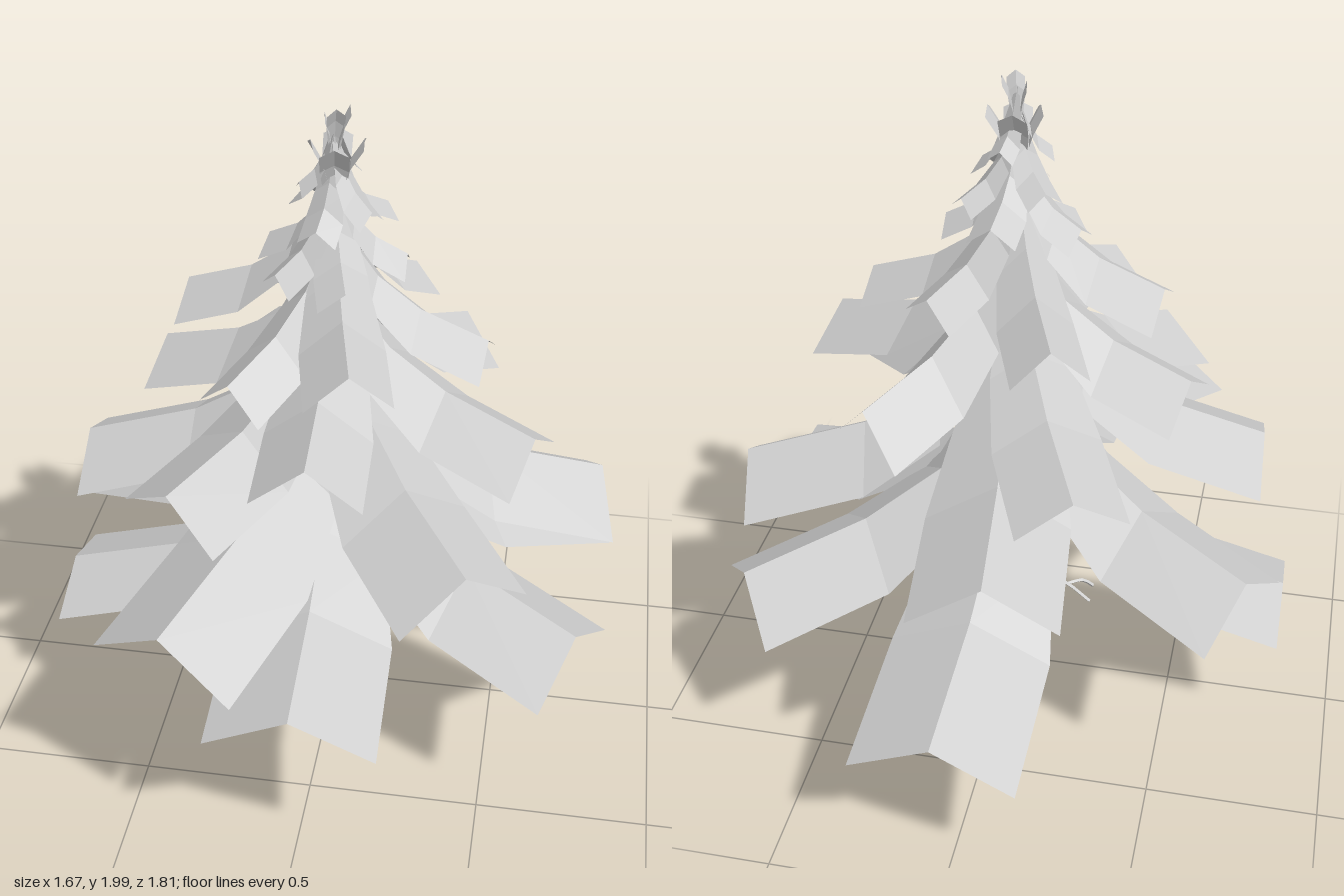
import * as THREE from 'three';

const bark = new THREE.MeshStandardMaterial({ color: 0xcccccc, flatShading: true, side: THREE.DoubleSide });
bark.name = 'pale grey';

const AXIS_Z = 0.025;

// Folded bough: a ridge running from the trunk to its tip, with two drooping sides.
// [tip x, tip z, ridge height at tip, width, droop of the edges, rise towards the trunk]
function bough([x, z, y, width, droop, rise]) {
  const dx = x, dz = z - AXIS_Z, r = Math.hypot(dx, dz);
  const px = -dz / r, pz = dx / r;
  // [distance along, share of rise, share of width]
  const stations = [[0.03, 1, 0.25], [0.28, 0.52, 0.75], [0.56, 0.23, 0.98], [1, 0, 1]];
  const rows = stations.map(([t, lift, spread]) => [-1, 0, 1].map((s) => {
    const half = s * width * spread / 2;
    return [dx * t + px * half, y + rise * lift - Math.abs(s) * droop * spread, AXIS_Z + dz * t + pz * half];
  }));
  const pos = [];
  for (let i = 0; i < 3; i++) {
    for (let j = 0; j < 2; j++) {
      const a = rows[i][j], b = rows[i][j + 1], c = rows[i + 1][j + 1], d = rows[i + 1][j];
      pos.push(...a, ...b, ...c, ...a, ...c, ...d);
    }
  }
  const g = new THREE.BufferGeometry();
  g.setAttribute('position', new THREE.Float32BufferAttribute(pos, 3));
  g.computeVertexNormals();
  return new THREE.Mesh(g, bark);
}

const tiers = {
  lowestBough: [
    [0.05, -0.905, 0.43, 0.48, 0.11, 0.5],
    [-0.83, 0.035, 0.41, 0.43, 0.08, 0.42],
    [0, 0.83, 0.57, 0.48, 0.11, 0.4],
    [0.72, -0.44, 0.57, 0.43, 0.13, 0.42],
    [0.745, 0.36, 0.57, 0.43, 0.13, 0.42],
    [-0.73, -0.32, 0.67, 0.42, 0.13, 0.42],
  ],
  lowerBough: [
    [-0.35, 0.8, 0.79, 0.46, 0.13, 0.45],
    [0.785, -0.155, 0.81, 0.42, 0.13, 0.4],
    [-0.73, 0.065, 0.93, 0.41, 0.1, 0.4],
    [-0.06, -0.73, 0.86, 0.42, 0.13, 0.43],
    [0.44, 0.595, 0.93, 0.4, 0.13, 0.38],
  ],
  middleBough: [
    [-0.27, -0.55, 1.04, 0.32, 0.09, 0.38],
    [-0.38, 0.52, 1.05, 0.38, 0.11, 0.36],
    [0.585, 0.225, 1.14, 0.33, 0.11, 0.32],
    [-0.52, -0.1, 1.18, 0.32, 0.1, 0.32],
    [0, 0.53, 1.18, 0.31, 0.12, 0.32],
    [0.34, -0.405, 1.16, 0.28, 0.14, 0.36],
  ],
  upperBough: [
    [0.435, 0.075, 1.35, 0.23, 0.08, 0.3],
    [-0.425, -0.025, 1.42, 0.27, 0.08, 0.29],
    [0.1, 0.42, 1.41, 0.24, 0.1, 0.28],
    [-0.23, 0.385, 1.33, 0.22, 0.09, 0.3],
    [-0.17, -0.36, 1.38, 0.22, 0.1, 0.3],
    [0.2, -0.22, 1.42, 0.2, 0.07, 0.28],
  ],
  crownBough: [
    [0.2, 0.02, 1.57, 0.14, 0.05, 0.2],
    [0.03, -0.18, 1.63, 0.14, 0.05, 0.18],
    [-0.19, -0.03, 1.58, 0.15, 0.05, 0.2],
    [-0.14, 0.16, 1.55, 0.13, 0.05, 0.22],
    [0.06, 0.22, 1.54, 0.15, 0.05, 0.22],
    [0.13, -0.09, 1.67, 0.11, 0.04, 0.18],
    [-0.1, -0.08, 1.7, 0.11, 0.04, 0.18],
    [-0.03, 0.15, 1.68, 0.11, 0.04, 0.2],
    [0.11, 0.09, 1.72, 0.1, 0.04, 0.18],
    [-0.09, 0.06, 1.78, 0.08, 0.03, 0.15],
    [0.03, -0.06, 1.8, 0.08, 0.03, 0.14],
  ],
  // Young shoots near the tip point upwards
  topShoot: [
    [0.08, 0.02, 1.9, 0.08, 0.02, -0.24],
    [-0.06, 0.05, 1.9, 0.07, 0.02, -0.24],
    [0.01, 0.09, 1.89, 0.08, 0.02, -0.24],
    [0, -0.04, 1.9, 0.08, 0.02, -0.24],
    [0.04, 0.015, 1.99, 0.06, 0.02, -0.16],
    [-0.025, 0.03, 1.97, 0.05, 0.02, -0.16],
    [0.01, 0.055, 1.99, 0.05, 0.02, -0.16],
  ],
};

// Bare twig: thin bent tube
function twig(points) {
  const path = new THREE.CatmullRomCurve3(points.map((p) => new THREE.Vector3(...p)));
  const mesh = new THREE.Mesh(new THREE.TubeGeometry(path, 4, 0.006, 4), bark);
  mesh.name = 'bareTwig';
  return mesh;
}

export function createModel() {
  const tree = new THREE.Group();
  tree.name = 'pineTree';

  // Trunk with flared foot
  const profile = [[0, 0], [0.07, 0], [0.042, 0.08], [0.036, 0.6], [0.028, 1.2], [0.012, 1.8], [0, 1.96]]
    .map(([r, y]) => new THREE.Vector2(r, y));
  const trunk = new THREE.Mesh(new THREE.LatheGeometry(profile, 7), bark);
  trunk.position.z = 0.03;
  trunk.name = 'trunk';
  tree.add(trunk);

  for (const [name, list] of Object.entries(tiers)) {
    const tier = new THREE.Group();
    tier.name = name + 'Tier';
    for (const spec of list) {
      const mesh = bough(spec);
      mesh.name = name;
      tier.add(mesh);
    }
    tree.add(tier);
  }

  // Dead twigs below the boughs
  tree.add(
    twig([[0, 0.37, 0.03], [-0.14, 0.33, 0.02], [-0.24, 0.27, 0]]),
    twig([[-0.17, 0.315, 0.02], [-0.21, 0.31, 0.05], [-0.24, 0.285, 0.06]]),
    twig([[0.02, 0.38, 0.05], [0.1, 0.365, 0.14], [0.14, 0.32, 0.25]]),
    twig([[0.09, 0.32, 0.13], [0.13, 0.33, 0.18], [0.19, 0.34, 0.2]]),
    twig([[0.03, 0.27, 0.02], [0.08, 0.24, -0.04], [0.12, 0.21, -0.11]]),
  );
  return tree;
}
